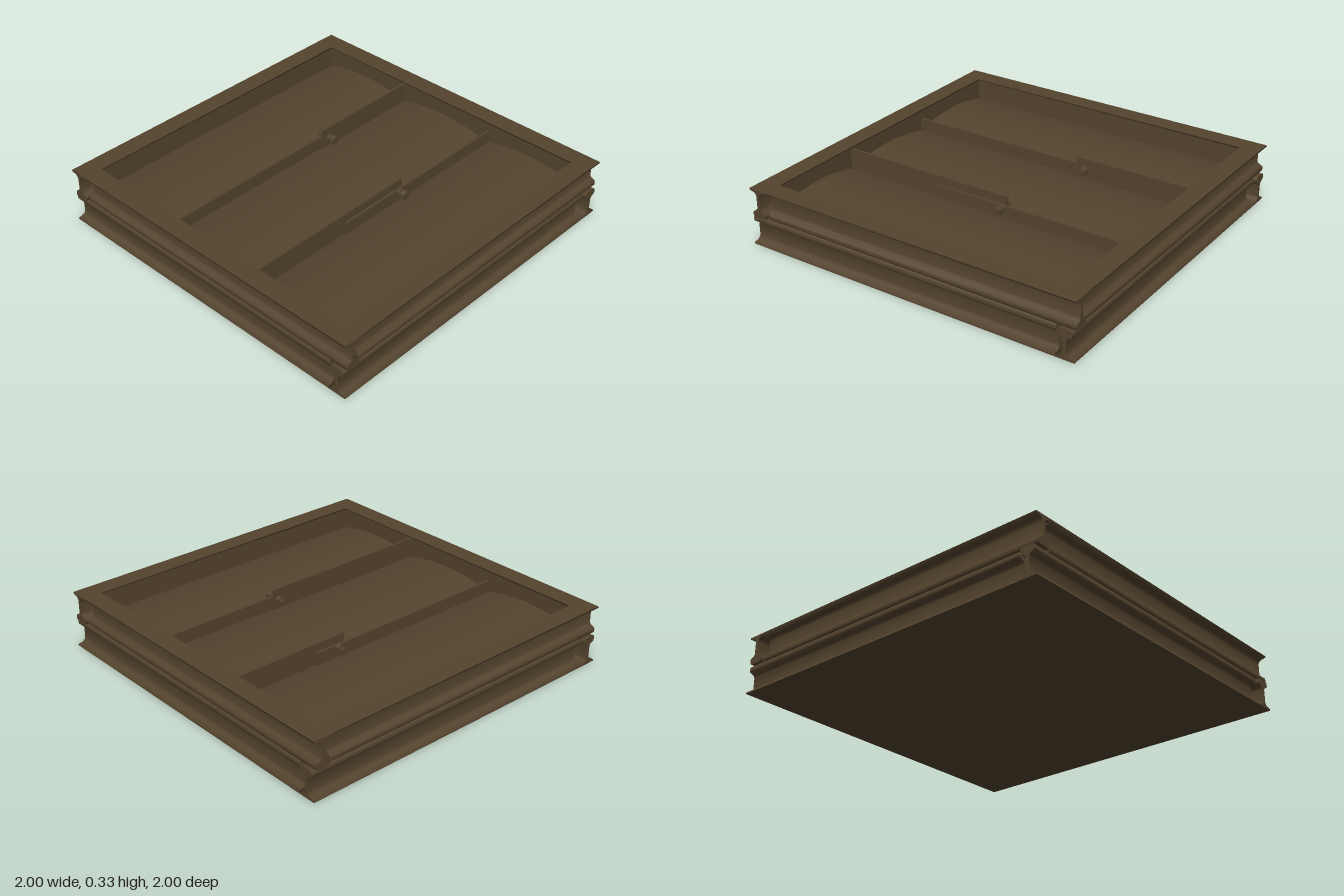
import * as THREE from 'three';
import { toCreasedNormals } from 'three/addons/utils/BufferGeometryUtils.js';

const H = 0.165;       // height of one rail
const FOOT = 0.11;     // width of a rail foot
const LENGTH = 2 - FOOT;
const FLOOR = 0.2;     // springing height of the floor vaults
const RISE = 0.04;     // crown of each vault above that

// Rail section: wide thin foot, slim web, rounded head
function railGeometry() {
  const half = [
    [0.055, 0], [0.055, 0.008], [0.024, 0.016], [0.012, 0.026], [0.009, 0.04], [0.009, 0.108],
    [0.014, 0.119], [0.04, 0.132], [0.042, 0.142], [0.041, 0.155], [0.037, 0.162], [0.03, H],
  ];
  const points = [...half, ...half.map(([x, y]) => [-x, y]).reverse()];
  const s = new THREE.Shape(points.map(([x, y]) => new THREE.Vector2(x, y)));
  const g = new THREE.ExtrudeGeometry(s, { depth: LENGTH, bevelEnabled: false });
  g.translate(0, 0, -LENGTH / 2);
  return toCreasedNormals(g, 1.35);
}

// Shallow barrel vault running along x between two z positions
function vaultGeometry(z0, z1) {
  const s = new THREE.Shape();
  s.moveTo(-z1, FLOOR - 0.06);
  s.lineTo(-z0, FLOOR - 0.06);
  s.lineTo(-z0, FLOOR);
  s.quadraticCurveTo(-(z0 + z1) / 2, FLOOR + 2 * RISE, -z1, FLOOR);
  s.closePath();
  const g = new THREE.ExtrudeGeometry(s, { depth: 1.8, bevelEnabled: false, curveSegments: 16 });
  g.translate(0, 0, -0.9);
  g.rotateY(Math.PI / 2);
  return toCreasedNormals(g, 0.6);
}

export function createModel() {
  const model = new THREE.Group();
  model.name = 'railFrameTray';
  const brown = new THREE.MeshStandardMaterial({ color: 0x54442e });
  brown.name = 'rustBrown';

  const add = (parent, name, geometry, x, y, z) => {
    const m = new THREE.Mesh(geometry, brown);
    m.name = name;
    m.position.set(x, y, z);
    parent.add(m);
    return m;
  };
  const box = (parent, name, x0, x1, y0, y1, z0, z1) =>
    add(parent, name, new THREE.BoxGeometry(x1 - x0, y1 - y0, z1 - z0),
      (x0 + x1) / 2, (y0 + y1) / 2, (z0 + z1) / 2);

  // Two pinwheel rings of rails, head to head, turning opposite ways, with an inner lining
  const rail = railGeometry();
  for (let i = 0; i < 4; i++) {
    const side = new THREE.Group();
    side.name = 'frameSide';
    side.rotation.y = i * Math.PI / 2;
    add(side, 'lowerRail', rail, 1 - FOOT / 2, 0, FOOT / 2);
    add(side, 'upperRail', rail, 1 - FOOT / 2, 2 * H, -FOOT / 2).rotation.z = Math.PI;
    box(side, 'lining', 0.891, 0.903, 0.14, 0.325, -0.9, 0.9);
    model.add(side);
  }

  // Bottom plate and vaulted inner floor, one vault per bay
  box(model, 'bottomPlate', -1, 1, 0, 0.006, -1, 1);
  const bays = [-0.9, -0.31, 0.32, 0.9];
  for (let i = 0; i < 3; i++) add(model, 'floorVault', vaultGeometry(bays[i], bays[i + 1]), 0, 0, 0);

  // Bolt through a pair of overlapping divider strips
  const bolt = (parent, x, z) => {
    const rod = (name, r, z0, z1, sides) => {
      const g = new THREE.CylinderGeometry(r, r, z1 - z0, sides);
      g.rotateX(Math.PI / 2);
      add(parent, name, toCreasedNormals(g, 0.7), x, 0.255, z + (z0 + z1) / 2);
    };
    rod('boltShank', 0.013, -0.062, 0.05, 12);
    rod('nut', 0.026, -0.038, -0.014, 6);
    rod('washer', 0.024, 0.014, 0.03, 16);
    rod('boltHead', 0.028, 0.036, 0.064, 6);
  };

  // Dividers: a tall and a low strip, lapped and bolted
  const dividers = [
    { z: -0.31, leftEnd: 0.39, rightStart: 0.2, boltX: 0.25, topA: 0.275, topB: 0.322 },
    { z: 0.32, leftEnd: 0.16, rightStart: -0.28, boltX: 0.13, topA: 0.322, topB: 0.275 },
  ];
  for (const d of dividers) {
    const g = new THREE.Group();
    g.name = 'divider';
    const t = 0.014;
    box(g, 'stripA', -0.895, d.leftEnd, FLOOR - 0.02, d.topA, d.z - t, d.z);
    box(g, 'stripB', d.rightStart, 0.895, FLOOR - 0.02, d.topB, d.z, d.z + t);
    bolt(g, d.boltX, d.z);
    model.add(g);
  }
  return model;
}
